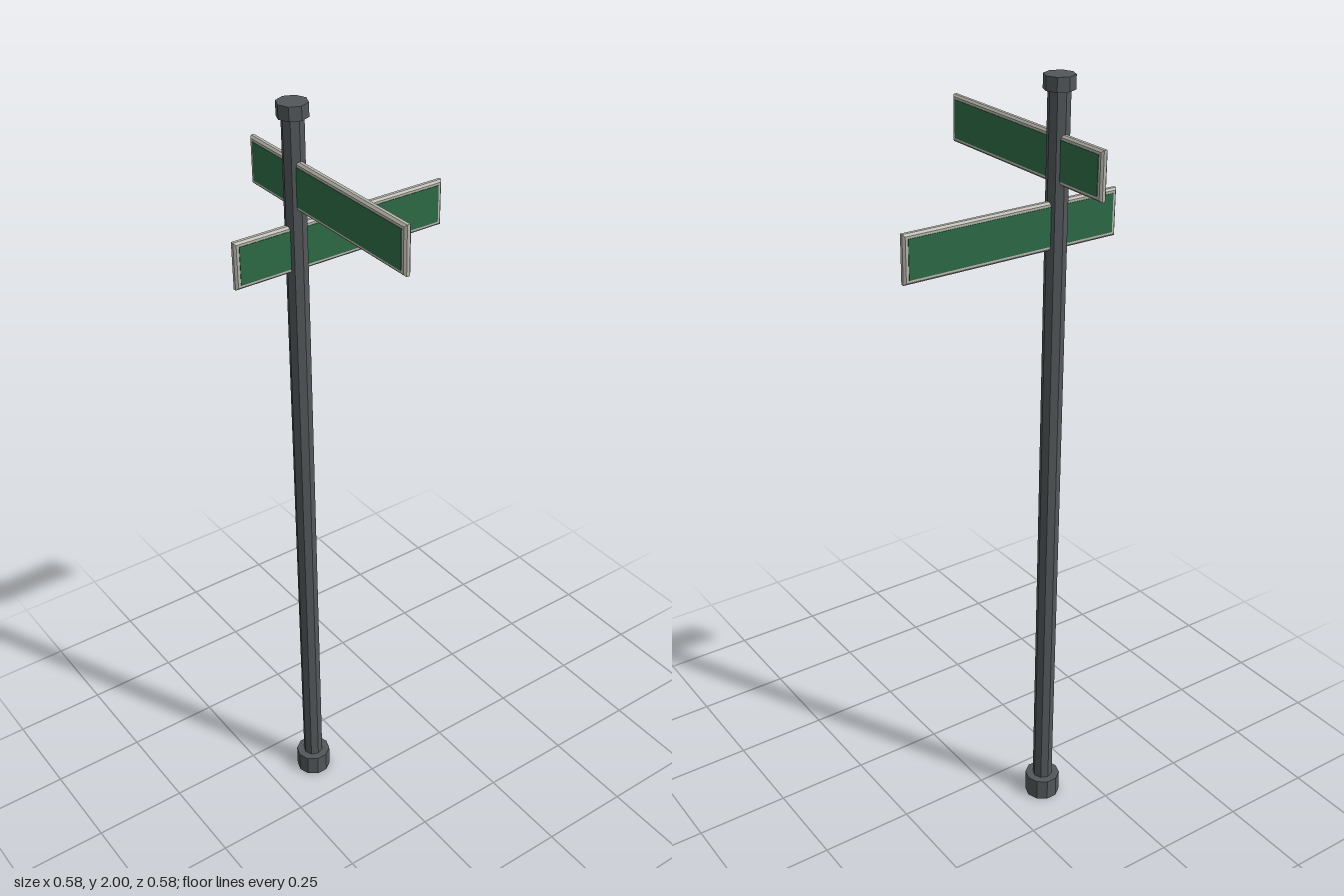
import * as THREE from 'three';

const POLE_X = -0.123, POLE_Z = 0.122;

const metal = new THREE.MeshStandardMaterial({ name: 'dark grey metal', color: 0x53575a });
const trim = new THREE.MeshStandardMaterial({ name: 'pale grey trim', color: 0xb6b5ac });
const green = new THREE.MeshStandardMaterial({ name: 'sign green', color: 0x2c6a45 });
for (const m of [metal, trim, green]) m.flatShading = true;

function add(parent, name, geometry, material, x = 0, y = 0, z = 0) {
  const mesh = new THREE.Mesh(geometry, material);
  mesh.name = name;
  mesh.position.set(x, y, z);
  parent.add(mesh);
  return mesh;
}

// Faceted upright section between two heights
function post(parent, name, radius, y0, y1, sides) {
  const geometry = new THREE.CylinderGeometry(radius, radius, y1 - y0, sides);
  return add(parent, name, geometry, metal, POLE_X, (y0 + y1) / 2, POLE_Z);
}

// Blade with a chamfered rim and a green panel standing slightly proud on both faces
function signBlade(name, length, height) {
  const sign = new THREE.Group();
  sign.name = name;
  const bevel = 0.005, depth = 0.018;
  const w = length / 2 - bevel, h = height / 2 - bevel;
  const outline = new THREE.Shape([
    new THREE.Vector2(-w, -h), new THREE.Vector2(w, -h),
    new THREE.Vector2(w, h), new THREE.Vector2(-w, h),
  ]);
  const rim = new THREE.ExtrudeGeometry(outline, {
    depth: depth - 2 * bevel, bevelEnabled: true, bevelSegments: 1,
    bevelSize: bevel, bevelThickness: bevel,
  });
  rim.translate(0, 0, bevel - depth / 2);
  add(sign, 'signRim', rim, trim);
  add(sign, 'signPanel', new THREE.BoxGeometry(length - 0.024, height - 0.022, 0.0205), green);
  return sign;
}

export function createModel() {
  const model = new THREE.Group();
  model.name = 'streetSignPost';

  // Post
  post(model, 'postBase', 0.0465, 0, 0.06, 10);
  post(model, 'pole', 0.0265, 0.05, 1.98, 8);
  post(model, 'postCap', 0.037, 1.967, 2, 8);

  // Two crossed blades, both offset along their length from the pole
  const upper = signBlade('upperSign', 0.582, 0.116);
  upper.position.set(0, 1.813, POLE_Z);
  const lower = signBlade('lowerSign', 0.582, 0.116);
  lower.position.set(POLE_X, 1.659, 0);
  lower.rotation.y = Math.PI / 2;
  model.add(upper, lower);

  return model;
}
